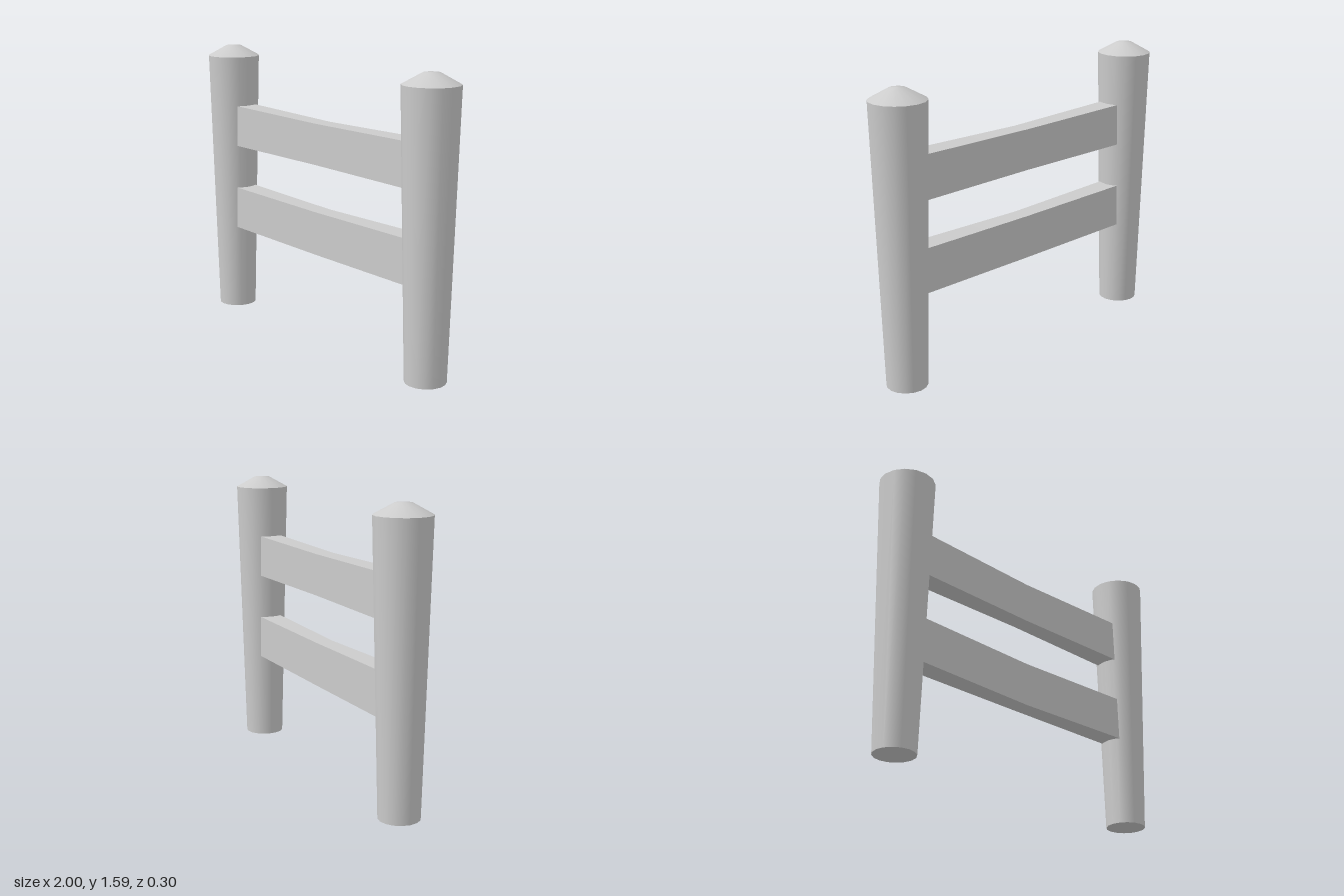
import * as THREE from 'three';

const material = new THREE.MeshStandardMaterial({ color: 0xcccccc });
const SIDES = 16;
const POST_X = 0.85;
const SHOULDER = 1.525;

function part(name, geometry) {
  const mesh = new THREE.Mesh(geometry, material);
  mesh.name = name;
  return mesh;
}

// Tapered round post, wider at the top, with a blunt conical cap
function createPost(name) {
  const post = new THREE.Group();
  post.name = name;
  const shaft = part('postShaft', new THREE.CylinderGeometry(0.15, 0.11, SHOULDER, SIDES, 1));
  shaft.position.y = SHOULDER / 2;
  const profile = [[0.15, SHOULDER], [0.045, 1.583], [0, 1.586]].map(([r, y]) => new THREE.Vector2(r, y));
  post.add(shaft, part('postCap', new THREE.LatheGeometry(profile, SIDES)));
  return post;
}

// Plank that thins and dips gently toward its middle
function createRail(name, bottom, top, bottomDip) {
  const length = 2 * POST_X;
  const geometry = new THREE.BoxGeometry(length, 1, 1, 4, 1, 1);
  const pos = geometry.attributes.position;
  for (let i = 0; i < pos.count; i++) {
    const t = Math.min(1, Math.abs(pos.getX(i)) / (length / 2));
    const y = pos.getY(i) > 0 ? top - 0.012 * (1 - t) : bottom - bottomDip * (1 - t);
    pos.setXYZ(i, pos.getX(i), y, Math.sign(pos.getZ(i)) * (0.052 + 0.014 * t));
  }
  geometry.computeVertexNormals();
  return part(name, geometry);
}

export function createModel() {
  const fence = new THREE.Group();
  fence.name = 'fence';
  for (const [name, side] of [['leftPost', 1], ['rightPost', -1]]) {
    const post = createPost(name);
    post.position.x = side * POST_X;
    fence.add(post);
  }
  fence.add(createRail('upperRail', 1.0, 1.24, 0));
  fence.add(createRail('lowerRail', 0.502, 0.747, 0.01));
  return fence;
}
